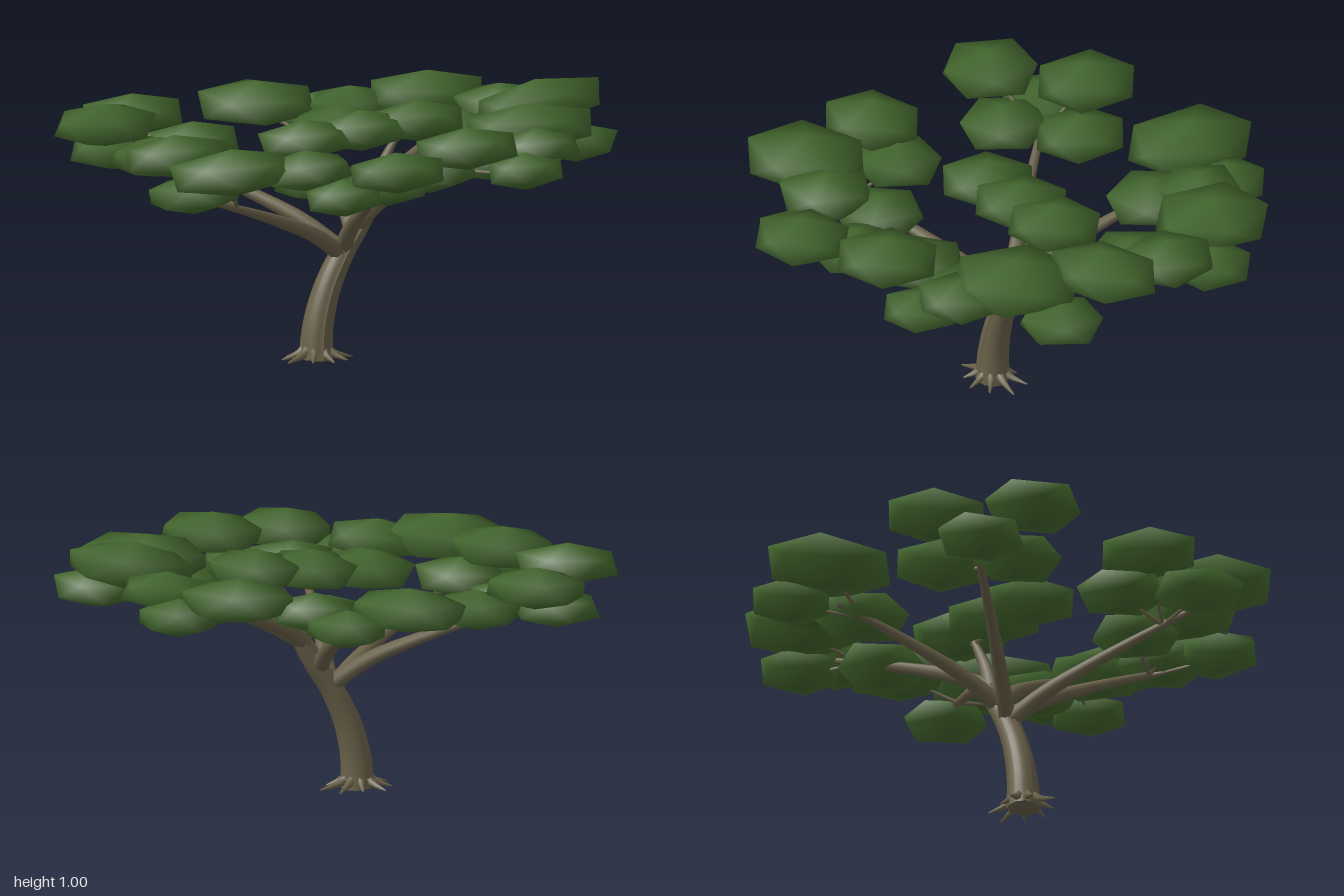
import * as THREE from 'three';

const bark = new THREE.MeshStandardMaterial({ color: 0x696149 });
bark.name = 'bark';
const leaf = new THREE.MeshStandardMaterial({ color: 0x42652d });
leaf.name = 'leaf green';

// Tapered tube through points; flute pushes every other side in and out
function limb(name, pts, r0, r1, { rings = 10, sides = 8, flute = 0 } = {}) {
  const curve = new THREE.CatmullRomCurve3(pts.map((p) => new THREE.Vector3(...p)));
  const geo = new THREE.TubeGeometry(curve, rings, 1, sides, false);
  const pos = geo.attributes.position;
  const v = new THREE.Vector3();
  for (let i = 0; i <= rings; i++) {
    const c = curve.getPointAt(i / rings);
    const r = r0 + (r1 - r0) * (i / rings);
    for (let j = 0; j <= sides; j++) {
      const k = i * (sides + 1) + j;
      v.fromBufferAttribute(pos, k).sub(c).multiplyScalar(r * (1 + (j % 2 ? -flute : flute))).add(c);
      pos.setXYZ(k, v.x, v.y, v.z);
    }
  }
  if (flute) geo.computeVertexNormals();
  const mesh = new THREE.Mesh(geo, bark);
  mesh.name = name;
  return mesh;
}

// Flattened icosahedron standing on a corner, keeping round normals
function padGeometry(rx, ry, rz, spin) {
  const geo = new THREE.IcosahedronGeometry(1, 0);
  geo.rotateX(-Math.atan((1 + Math.sqrt(5)) / 2)).rotateY(spin);
  geo.setAttribute('normal', geo.attributes.position.clone());
  geo.attributes.position.applyMatrix4(new THREE.Matrix4().makeScale(rx, ry, rz));
  return geo;
}

// Upper foliage: x, y, z, radius, and depth ratio where a pad is elongated
const UPPER = [
  [0, 0.85, -0.75, 0.21, 1.14], [0.31, 0.84, -0.6, 0.16], [0.57, 0.885, -0.49, 0.215], [0.73, 0.875, -0.2, 0.17],
  [0.745, 0.915, 0.09, 0.25, 0.68], [0.57, 0.875, 0.36, 0.24], [0.5, 0.83, 0.56, 0.16], [0.16, 0.865, 0.665, 0.19],
  [-0.2, 0.82, 0.81, 0.177], [-0.45, 0.81, 0.55, 0.175], [-0.71, 0.81, 0.475, 0.24, 0.88], [-0.78, 0.83, 0.145, 0.195, 0.86],
  [-0.56, 0.86, -0.65, 0.187], [-0.805, 0.875, -0.385, 0.193, 0.91],
];

// Lower foliage: x, z, radius; height follows a gently sloping plane
const LOWER = [
  [0.25, -0.75, 0.15], [0.2, -0.47, 0.18], [0.76, -0.37, 0.15], [0.53, -0.16, 0.17], [0.79, 0.3, 0.16],
  [0.38, 0.41, 0.17], [0.4, 0.67, 0.14], [0.09, 0.49, 0.18], [-0.15, 0.62, 0.17], [-0.38, 0.73, 0.14],
  [-0.32, 0.4, 0.17], [-0.81, 0.35, 0.17], [-0.61, 0.14, 0.17], [-0.38, -0.51, 0.17], [-0.62, -0.33, 0.17],
  [-0.69, -0.54, 0.165],
];

// Bough tips x, y, z and how far up the stem each leaves (0 to 1)
const TIPS = [
  [0.13, 0.78, -0.62, 0.4], [0.62, 0.82, -0.3, 0.9], [0.72, 0.82, 0.28, 0.9], [0.2, 0.8, 0.55, 0.5],
  [-0.2, 0.71, 0.65, 0.1], [-0.72, 0.68, 0.37, 0], [-0.6, 0.77, -0.5, 0.05], [0.2, 0.83, 0.02, 0.9],
];

export function createModel() {
  const tree = new THREE.Group();
  tree.name = 'flatToppedTree';

  // Leaning fluted trunk and its underside
  tree.add(limb('trunk',
    [[-0.14, 0.01, 0.02], [-0.132, 0.13, 0.02], [-0.095, 0.27, 0.02], [-0.03, 0.4, 0.02], [0.04, 0.5, 0.02], [0.11, 0.62, 0.02]],
    0.06, 0.03, { rings: 18, sides: 24, flute: 0.06 }));
  const base = new THREE.Mesh(new THREE.CircleGeometry(0.06, 20), bark);
  base.name = 'trunkBase';
  base.rotation.x = Math.PI / 2;
  base.position.set(-0.14, 0.01, 0.02);
  tree.add(base);

  // Spreading surface roots
  for (let i = 0; i < 9; i++) {
    const a = (i / 9) * Math.PI * 2;
    const len = (i % 2 ? 0.1 : 0.12) + 0.03 * Math.abs(Math.cos(a));
    const at = (d, y) => [-0.14 + Math.cos(a) * d, y, 0.02 + Math.sin(a) * d * 0.9];
    tree.add(limb('root', [at(0.03, 0.06), at(0.065, 0.033), at(len, 0.01)], 0.022, 0.003, { rings: 5, sides: 6 }));
  }

  // Boughs rise steeply from the stem, then flatten out toward their tips
  const low = new THREE.Vector3(-0.04, 0.4, 0.02);
  const high = new THREE.Vector3(0.09, 0.6, 0.02);
  const shoots = TIPS.map(([x, y, z, up]) => {
    const start = low.clone().lerp(high, up);
    const end = new THREE.Vector3(x, y, z);
    const path = [0, 0.2, 0.45, 0.7, 1].map((t) => {
      const p = start.clone().lerp(end, t);
      p.y = start.y + (y - start.y) * t ** 0.75;
      return p.toArray();
    });
    tree.add(limb('bough', path, 0.034, 0.011, { rings: 12 }));
    return new THREE.Vector3(...path[3]).lerp(end, 0.5);
  });

  // Leaf pad, with a twig from the closest bough
  function addPad(x, y, z, r, depth = 0.97) {
    const wide = r / 0.89;
    const pad = new THREE.Mesh(padGeometry(wide, 0.045 + 0.18 * r, wide * depth, x * 5 + z * 3), leaf);
    pad.name = 'foliagePad';
    pad.position.set(x, y, z);
    pad.rotation.set(-0.04 * Math.sign(z), 0, depth < 0.8 ? 0.16 : 0.06);
    tree.add(pad);

    const from = shoots.reduce((a, b) => (a.distanceTo(pad.position) < b.distanceTo(pad.position) ? a : b));
    const mid = from.clone().lerp(pad.position, 0.5);
    mid.y -= 0.01;
    tree.add(limb('twig', [from.toArray(), mid.toArray(), [x, y, z]], 0.009, 0.004, { rings: 4, sides: 5 }));
  }
  UPPER.forEach((p) => addPad(...p));
  LOWER.forEach(([x, z, r]) => addPad(x, 0.768 + 0.045 * x - 0.03 * z, z, r));
  // Row of pads over the crown
  for (let i = 0; i < 3; i++) addPad(-0.18 + 0.23 * i, 0.83 + 0.02 * i, 0.015, 0.175);

  return tree;
}
